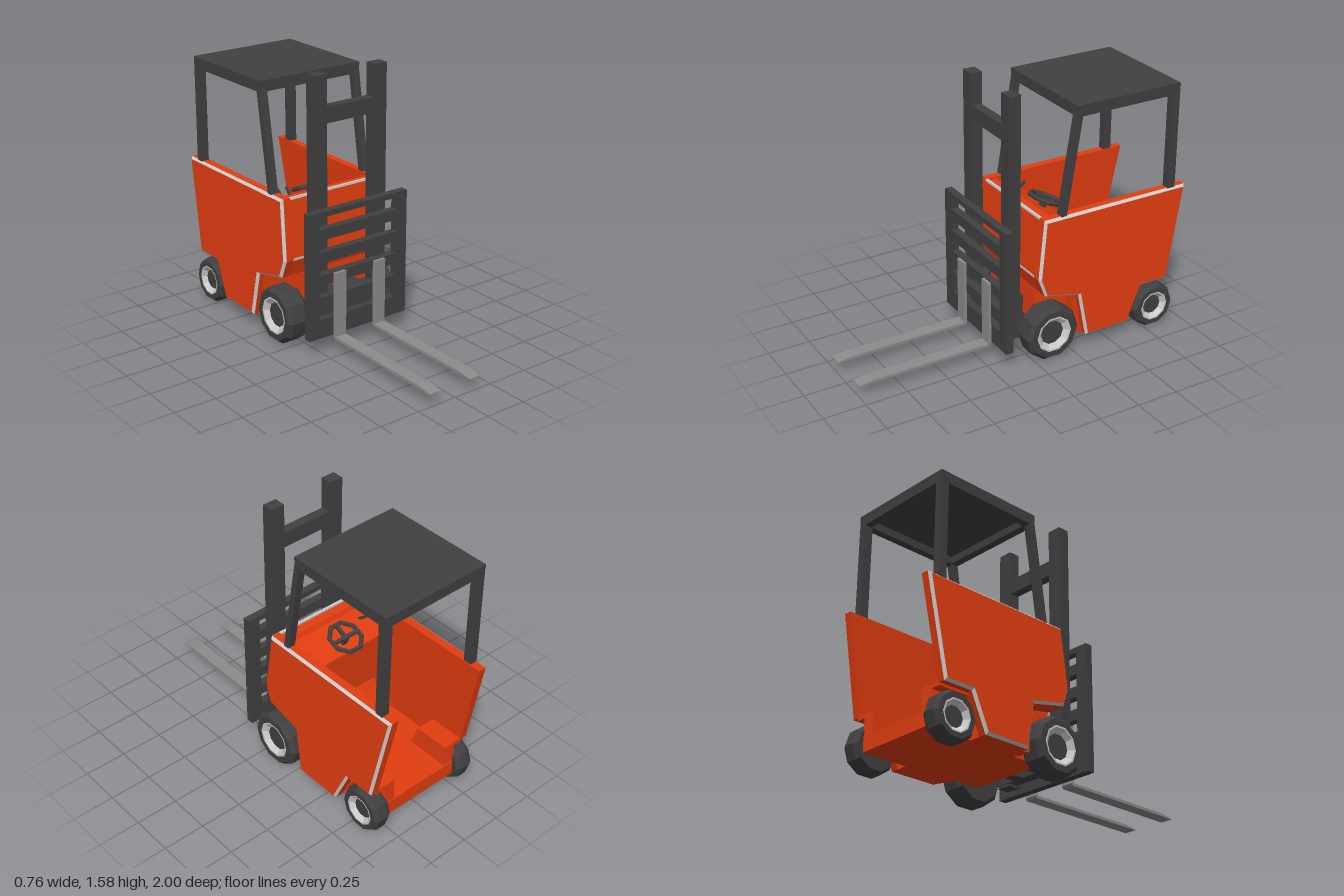
import * as THREE from 'three';

const mat = (color) => new THREE.MeshStandardMaterial({ color, flatShading: true });
const orange = mat(0xe23d10);
const dark = mat(0x404040);
const grey = mat(0x8c8c8c);
const pale = mat(0xcccccc);

// Extrudes a [z, y] profile along x from x0 to x1
function extrudeX(profile, x0, x1, options = {}) {
  const shape = new THREE.Shape(profile.map(([z, y]) => new THREE.Vector2(z, y)));
  const g = new THREE.ExtrudeGeometry(shape, { depth: x1 - x0, bevelEnabled: false, ...options });
  return g.translate(0, 0, -x1).rotateY(-Math.PI / 2);
}

export function createModel() {
  const model = new THREE.Group();
  const add = (name, geometry, material, parent = model) => {
    const mesh = new THREE.Mesh(geometry, material);
    mesh.name = name;
    parent.add(mesh);
    return mesh;
  };
  // Box given by its limits on each axis
  const box = (name, [x0, x1], [y0, y1], [z0, z1], material, parent) => {
    const g = new THREE.BoxGeometry(x1 - x0, y1 - y0, z1 - z0);
    g.translate((x0 + x1) / 2, (y0 + y1) / 2, (z0 + z1) / 2);
    return add(name, g, material, parent);
  };
  // Mirrored x range
  const span = (s, a, b) => (s > 0 ? [a, b] : [-b, -a]);

  // Side panels leaning inward, with a pale bevelled edge on the outside
  const panel = [[-0.06, 0.87], [-0.02, 0.52], [-0.06, 0.41], [-0.28, 0.36], [-0.33, 0.09],
    [-0.62, 0.09], [-0.71, 0.3], [-0.89, 0.3], [-1, 0.87]];
  const lean = (g, s) => {
    const p = g.attributes.position;
    for (let i = 0; i < p.count; i++) p.setX(i, p.getX(i) - s * 0.032 * (p.getY(i) - 0.4));
    g.computeVertexNormals();
    return g;
  };
  for (const s of [1, -1]) {
    add('sidePanel', lean(extrudeX(panel, ...span(s, 0.305, 0.351)), s), orange);
    const bevel = { bevelEnabled: true, bevelSegments: 1, bevelThickness: 0.014, bevelSize: 0.014, bevelOffset: -0.014 };
    add('panelTrim', lean(extrudeX(panel, ...span(s, 0.35, 0.351), bevel), s), [orange, pale]);
  }

  // Front wall and sloping dashboard
  add('frontCowl', extrudeX([[-0.065, 0.858], [-0.03, 0.52], [-0.065, 0.41], [-0.28, 0.37], [-0.3, 0.42],
    [-0.32, 0.74], [-0.14, 0.83], [-0.13, 0.858]], -0.325, 0.325), orange);
  add('cowlTopTrim', extrudeX([[-0.06, 0.869], [-0.059, 0.857], [-0.076, 0.857], [-0.076, 0.869]], -0.335, 0.335), pale);
  add('cowlLowerTrim', extrudeX([[-0.026, 0.522], [-0.028, 0.508], [-0.045, 0.508], [-0.045, 0.522]], -0.345, 0.345), pale);

  // Chassis: narrow between the wheels, wide under the floor
  add('frontChassis', extrudeX([[-0.065, 0.42], [-0.06, 0.2], [-0.12, 0.095], [-0.35, 0.09], [-0.3, 0.42]], -0.237, 0.237), orange);
  add('firewall', extrudeX([[-0.27, 0.38], [-0.28, 0.1], [-0.34, 0.09], [-0.34, 0.2], [-0.3, 0.42]], -0.32, 0.32), orange);
  box('rearChassis', [-0.25, 0.25], [0.09, 0.18], [-0.9, -0.3], orange);
  box('floor', [-0.33, 0.33], [0.09, 0.182], [-0.62, -0.32], orange);
  add('footRamp', extrudeX([[-0.29, 0.43], [-0.31, 0.43], [-0.43, 0.19], [-0.5, 0.18], [-0.29, 0.18]], -0.2, 0.2), orange);

  // Rear wheel arches
  for (const s of [1, -1]) {
    add('rearArch', extrudeX([[-0.62, 0.12], [-0.68, 0.31], [-0.89, 0.31], [-0.895, 0.12]], ...span(s, 0.19, 0.262)), orange);
    add('archTop', extrudeX([[-0.66, 0.25], [-0.68, 0.31], [-0.89, 0.31], [-0.89, 0.285], [-0.7, 0.285]], ...span(s, 0.255, 0.32)), orange);
  }

  // Ten-sided wheels with a pale dished rim
  function wheel(name, s, r, x0, x1, z, y) {
    const group = new THREE.Group();
    group.name = name;
    const h = (x1 - x0) / 2;
    const lathe = (part, points, material) => add(part,
      new THREE.LatheGeometry(points.map(([a, b]) => new THREE.Vector2(a * r, b)), 10), material, group);
    lathe('tyre', [[0, -h], [0.88, -h], [1, 0.025 - h], [1, h - 0.025], [0.88, h], [0.66, h]], dark);
    lathe('rim', [[0.66, h], [0.6, h], [0.43, h - 0.025]], pale);
    lathe('hub', [[0.43, h - 0.025], [0, h - 0.025]], dark);
    group.rotation.z = -s * Math.PI / 2;
    group.position.set(s * (x0 + x1) / 2, y, z);
    model.add(group);
  }
  for (const s of [1, -1]) {
    wheel('frontWheel', s, 0.168, 0.24, 0.38, -0.11, 0.168);
    wheel('rearWheel', s, 0.137, 0.255, 0.365, -0.81, 0.137);
  }

  // Steering wheel on its column
  const steering = new THREE.Group();
  steering.name = 'steeringWheel';
  add('steeringRim', new THREE.TorusGeometry(0.095, 0.014, 6, 8).rotateZ(Math.PI / 8), dark, steering);
  box('spoke', [-0.09, 0.09], [-0.01, 0.01], [-0.008, 0.008], dark, steering);
  box('spoke', [-0.01, 0.01], [-0.09, 0], [-0.008, 0.008], dark, steering);
  box('steeringColumn', [-0.016, 0.016], [-0.016, 0.016], [-0.09, 0], dark, steering);
  steering.position.set(0, 0.815, -0.28);
  steering.rotation.set(-Math.PI / 2 - 0.4, 0, 0);
  model.add(steering);

  // Control levers
  for (const x of [-0.24, -0.18]) {
    add('controlLever', extrudeX([[-0.19, 0.79], [-0.18, 0.8], [-0.25, 0.86], [-0.26, 0.85]], x - 0.006, x + 0.006), dark);
  }

  // Overhead guard: four posts, a rail frame and a roof sheet
  for (const s of [1, -1]) {
    add('frontPost', extrudeX([[-0.155, 0.8], [-0.258, 1.45], [-0.295, 1.45], [-0.192, 0.8]], ...span(s, 0.295, 0.34)), dark);
    box('rearPost', span(s, 0.295, 0.34), [0.8, 1.45], [-0.93, -0.88], dark);
    box('sideRail', span(s, 0.295, 0.34), [1.43, 1.49], [-0.93, -0.258], dark);
  }
  for (const z of [-0.93, -0.303]) box('crossRail', [-0.3, 0.3], [1.43, 1.49], [z, z + 0.045], dark);
  box('roof', [-0.34, 0.34], [1.475, 1.495], [-0.932, -0.257], dark);

  // Mast with crossbars, body mounts and carriage links
  for (const s of [1, -1]) {
    box('mastRail', span(s, 0.16, 0.245), [0.125, 1.585], [0.035, 0.105], dark);
    box('mastMount', span(s, 0.05, 0.12), [0.14, 0.31], [-0.07, 0.04], dark);
    box('carriageLink', span(s, 0.17, 0.235), [0.14, 0.2], [0.1, 0.14], dark);
  }
  box('mastTopBar', [-0.17, 0.17], [1.31, 1.4], [0.042, 0.098], dark);
  box('mastLowerBar', [-0.245, 0.245], [0.14, 0.31], [0.03, 0.095], dark);

  // Slotted load backrest
  const rest = new THREE.Shape([[-0.34, 0.105], [0.34, 0.105], [0.34, 0.85], [-0.34, 0.85]].map((p) => new THREE.Vector2(...p)));
  for (let i = 0; i < 5; i++) {
    const y = 0.217 + i * 0.133;
    rest.holes.push(new THREE.Path([[-0.265, y], [-0.265, y + 0.07], [0.265, y + 0.07], [0.265, y]].map((p) => new THREE.Vector2(...p))));
  }
  add('loadBackrest', new THREE.ExtrudeGeometry(rest, { depth: 0.045, bevelEnabled: false }).translate(0, 0, 0.135), dark);

  // L-shaped forks with thinned tips
  const fork = [[0.18, 0.48], [0.18, 0.09], [0.19, 0.077], [1, 0.077], [1, 0.082], [0.91, 0.094], [0.197, 0.094], [0.197, 0.48]];
  for (const s of [1, -1]) add('fork', extrudeX(fork, ...span(s, 0.1, 0.176)), grey);

  return model;
}
